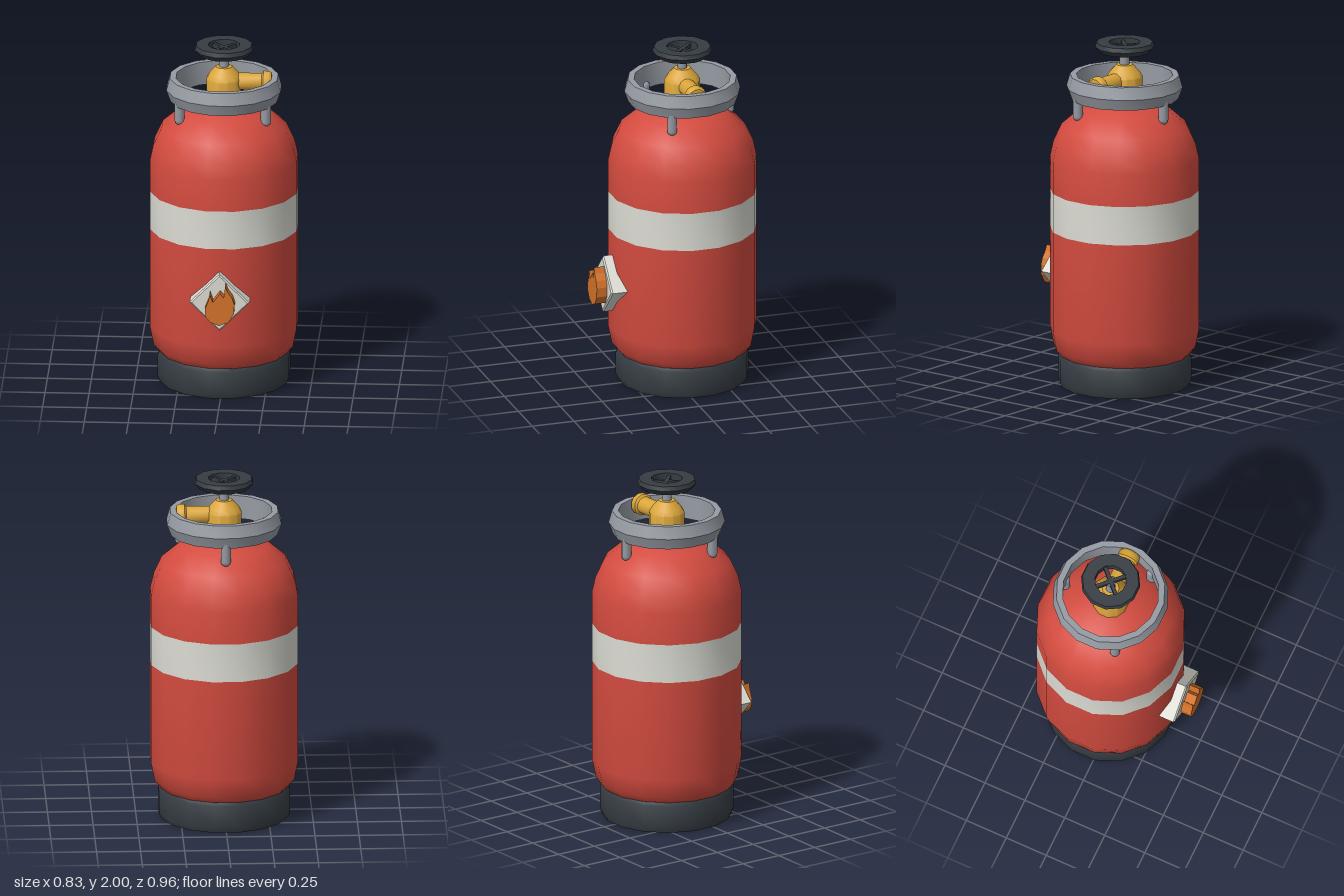
import * as THREE from 'three';
import { toCreasedNormals } from 'three/addons/utils/BufferGeometryUtils.js';

const mat = (name, color) => {
  const m = new THREE.MeshStandardMaterial({ color });
  m.name = name;
  return m;
};

export function createModel() {
  const red = mat('red paint', 0xd34b3f);
  const white = mat('off white', 0xdcdcd4);
  const grey = mat('grey metal', 0x969ba3);
  const dark = mat('dark rubber', 0x363d43);
  const gold = mat('brass', 0xdba63b);
  const orange = mat('orange', 0xd4722b);

  const model = new THREE.Group();
  model.name = 'gasCylinder';
  // everything turns around one upright axis, a little behind the centre
  const bottle = new THREE.Group();
  bottle.name = 'bottle';
  bottle.position.z = -0.0625;
  model.add(bottle);

  const add = (name, geometry, material, parent = bottle) => {
    const mesh = new THREE.Mesh(geometry, material);
    mesh.name = name;
    parent.add(mesh);
    return mesh;
  };
  // turned part; profile runs up the outside, sides are rotated so a flat faces front
  const turned = (profile, sides, crease = 0.65) => toCreasedNormals(new THREE.LatheGeometry(
    profile.map(([r, y]) => new THREE.Vector2(r, y)), sides, Math.PI / sides), crease);

  // tank
  const R = 0.425;
  add('lowerTank', turned([[0, 0.14], [0.31, 0.14], [0.365, 0.175], [0.403, 0.22], [R, 0.33], [R, 0.915]], 16, 0.8), red);
  add('tankBand', turned([[R, 0.915], [R, 1.14]], 16), white);
  add('upperTank', turned([[R, 1.14], [R, 1.325], [0.405, 1.415], [0.358, 1.516],
    [0.255, 1.605], [0.13, 1.655], [0, 1.665]], 16, 0.8), red);

  // open foot ring
  add('footRing', turned([[0.325, 0], [0.367, 0], [0.38, 0.03], [0.38, 0.16], [0.37, 0.18],
    [0.325, 0.18], [0.325, 0]], 16), dark);

  // guard collar and its three legs
  add('collar', turned([[0.275, 1.675], [0.307, 1.675], [0.331, 1.74], [0.311, 1.81],
    [0.275, 1.81], [0.275, 1.675]], 16, 0.45), grey);
  for (let i = 0; i < 3; i++) {
    const a = Math.PI / 6 + i * Math.PI * 2 / 3;
    const leg = add('collarLeg', new THREE.CapsuleGeometry(0.029, 0.1, 3, 8), grey);
    leg.position.set(Math.cos(a) * 0.283, 1.64, Math.sin(a) * 0.283);
  }

  // valve body and side outlet
  add('valveBody', turned([[0.102, 1.64], [0.102, 1.8], [0.085, 1.828], [0.048, 1.87], [0, 1.872]], 12), gold);
  const outlet = add('valveOutlet', turned([[0.05, 0.05], [0.05, 0.215], [0.063, 0.225], [0.063, 0.258],
    [0.053, 0.271], [0, 0.271]], 12), gold);
  outlet.rotation.z = -Math.PI / 2;
  outlet.position.y = 1.78;

  // hand wheel on its stem
  const stem = add('valveStem', new THREE.CylinderGeometry(0.028, 0.028, 0.115, 8), grey);
  stem.position.y = 1.92;
  add('wheelRim', turned([[0.09, 1.945], [0.145, 1.945], [0.17, 1.975], [0.162, 2],
    [0.09, 2], [0.09, 1.945]], 12, 0.55), dark);
  for (const a of [Math.PI / 4, -Math.PI / 4]) {
    const spoke = add('wheelSpoke', new THREE.BoxGeometry(0.2, 0.025, 0.022), dark);
    spoke.position.y = 1.975;
    spoke.rotation.y = a;
  }

  // warning sign: bevelled diamond with a raised flame
  const outline = pts => new THREE.Shape(pts.map(([x, y]) => new THREE.Vector2(x, y)));
  const d = 0.17;
  const sign = new THREE.Group();
  sign.name = 'warningSign';
  sign.position.set(0, 0.613, 0);
  model.add(sign);
  const plate = add('signPlate', new THREE.ExtrudeGeometry(outline([[0, -d], [d, 0], [0, d], [-d, 0]]), {
    depth: 0.11, bevelEnabled: true, bevelSegments: 1, bevelThickness: 0.008, bevelSize: 0.008, bevelOffset: -0.008,
  }), white, sign);
  plate.position.z = 0.297;
  const flame = add('flame', new THREE.ExtrudeGeometry(outline([[0, -0.117], [0.055, -0.095], [0.085, -0.045],
    [0.088, 0.01], [0.075, 0.05], [0.05, 0.085], [0.036, 0.12], [0.027, 0.05], [0.005, 0.075],
    [-0.035, 0.022], [-0.052, 0.07], [-0.06, 0.03], [-0.08, -0.02], [-0.075, -0.065], [-0.05, -0.097]]), {
    depth: 0.067, bevelEnabled: false,
  }), orange, sign);
  flame.position.z = 0.41;

  return model;
}
